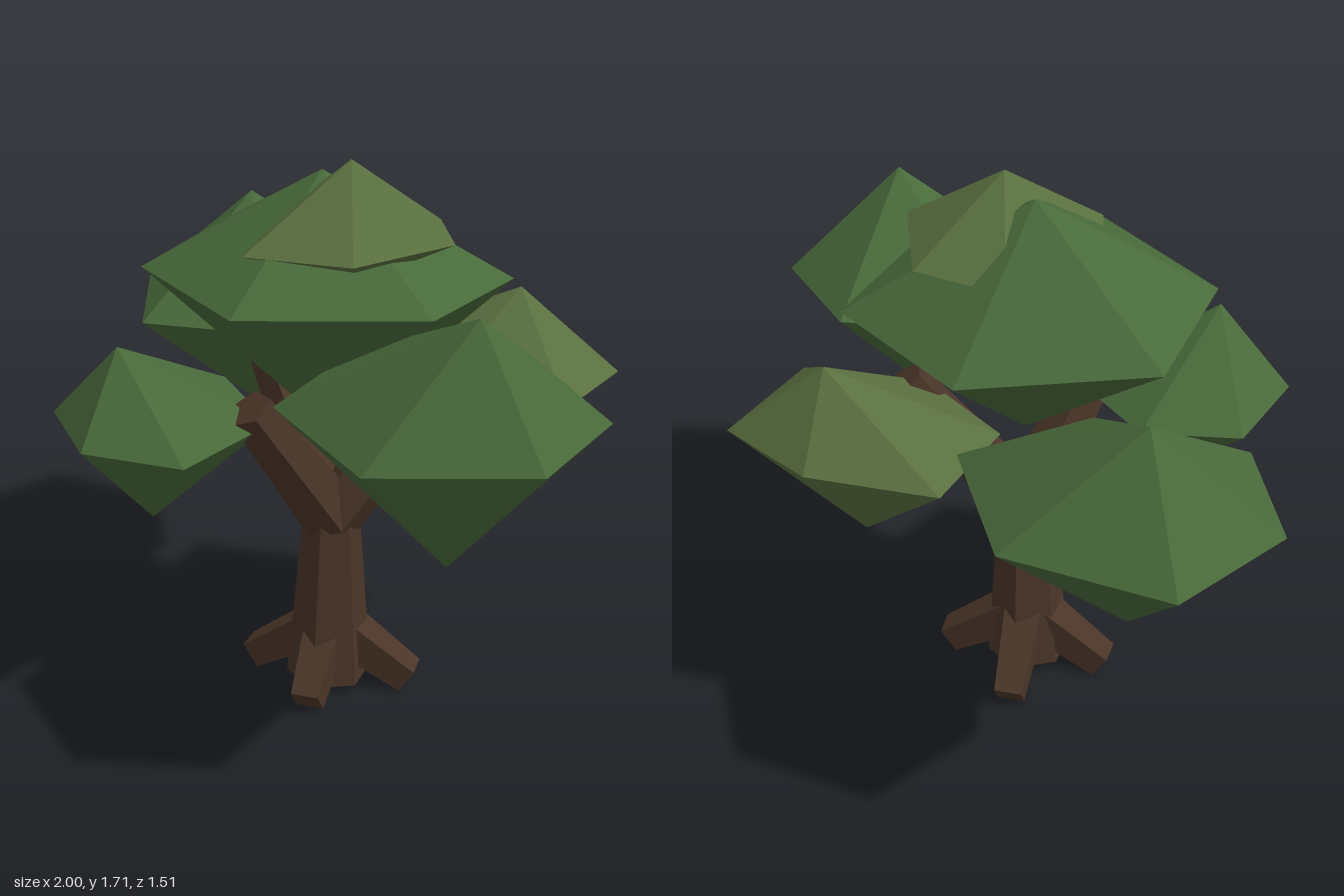
import * as THREE from 'three';

const bark = new THREE.MeshStandardMaterial({ color: 0x4a3528, flatShading: true });
const leaf = new THREE.MeshStandardMaterial({ color: 0x48693a, flatShading: true });
const paleLeaf = new THREE.MeshStandardMaterial({ color: 0x5a7040, flatShading: true });

// Tapered faceted limb running between two points
function limb(name, from, to, r0, r1, sides, turn = 0) {
  const a = new THREE.Vector3(...from), b = new THREE.Vector3(...to);
  const dir = b.clone().sub(a);
  const geo = new THREE.CylinderGeometry(r1, r0, dir.length(), sides);
  geo.rotateY(turn);
  const mesh = new THREE.Mesh(geo, bark);
  mesh.position.copy(a).add(b).multiplyScalar(0.5);
  // yaw first, then pitch, so flat sides stay level
  mesh.rotation.order = 'YXZ';
  mesh.rotation.y = Math.atan2(dir.x, dir.z);
  mesh.rotation.x = Math.acos(dir.y / dir.length());
  mesh.name = name;
  return mesh;
}

// Faceted leaf clump: an irregular ring closed by a top and a bottom point
function clump(name, material, top, bottom, ring) {
  const pos = [];
  ring.forEach((a, i) => {
    const b = ring[(i + 1) % ring.length];
    pos.push(...a, ...top, ...b, ...a, ...b, ...bottom);
  });
  const geo = new THREE.BufferGeometry();
  geo.setAttribute('position', new THREE.Float32BufferAttribute(pos, 3));
  geo.computeVertexNormals();
  const mesh = new THREE.Mesh(geo, material);
  mesh.name = name;
  return mesh;
}

export function createModel() {
  const tree = new THREE.Group();
  tree.name = 'tree';

  // Trunk, leaning slightly forward
  tree.add(limb('trunk', [0, 0.04, 0.03], [0.025, 0.64, 0.045], 0.135, 0.085, 6, 0.3));

  // Four splayed roots
  const roots = [[0.24, -0.08], [0.08, 0.24], [-0.25, 0.1], [-0.1, -0.22]];
  for (const [x, z] of roots) {
    tree.add(limb('root', [x * 0.1, 0.2, z * 0.1 + 0.02], [x, 0.045, z], 0.085, 0.062, 4, Math.PI / 4));
  }

  // Three main branches
  const branches = [[0.3, 1.08, -0.19], [-0.06, 1.02, 0.32], [-0.36, 1.02, -0.12]];
  for (const end of branches) {
    tree.add(limb('branch', [0.025, 0.6, 0.045], end, 0.1, 0.07, 5));
  }

  // Foliage
  tree.add(
    clump('leftFoliage', leaf, [0.72, 1.465, 0.33], [0.61, 0.71, 0.285], [
      [1, 1.15, 0.45], [0.62, 1.13, 0.69], [0.19, 1.15, 0.51],
      [0.13, 1.17, 0.07], [0.55, 1.19, -0.18], [0.96, 1.15, 0.05]]),
    clump('rightFoliage', leaf, [-0.68, 1.41, -0.42], [-0.6, 0.695, -0.35], [
      [-0.11, 1.13, -0.47], [-0.28, 1.09, -0.05], [-0.72, 1.07, 0.08],
      [-1, 1.1, -0.25], [-0.92, 1.12, -0.66], [-0.45, 1.12, -0.76]]),
    clump('frontFoliage', leaf, [-0.35, 1.21, 0.55], [-0.31, 0.66, 0.48], [
      [-0.04, 0.94, 0.62], [-0.31, 0.96, 0.75], [-0.58, 0.97, 0.6],
      [-0.61, 0.98, 0.25], [-0.35, 0.98, 0.1], [-0.03, 0.96, 0.26]]),
    clump('backFoliage', paleLeaf, [0.34, 1.26, -0.49], [0.29, 0.67, -0.41], [
      [0.66, 1.02, -0.24], [0.3, 1.02, -0.08], [-0.06, 1.03, -0.2],
      [-0.11, 1.03, -0.55], [0.25, 1.04, -0.7], [0.62, 1.01, -0.62]]),
    clump('centreFoliage', leaf, [-0.02, 1.67, 0.03], [0.03, 0.89, 0.05], [
      [0.49, 1.37, 0.2], [0.08, 1.38, 0.55], [-0.44, 1.38, 0.35],
      [-0.57, 1.39, -0.17], [-0.11, 1.34, -0.48], [0.41, 1.34, -0.33]]),
    clump('topFoliage', paleLeaf, [0.1, 1.72, 0.05], [0.13, 1.37, 0.06], [
      [0.42, 1.52, 0], [0.29, 1.5, 0.29], [-0.03, 1.49, 0.37],
      [-0.19, 1.48, 0.12], [-0.08, 1.49, -0.2], [0.2, 1.5, -0.25]])
  );
  return tree;
}
